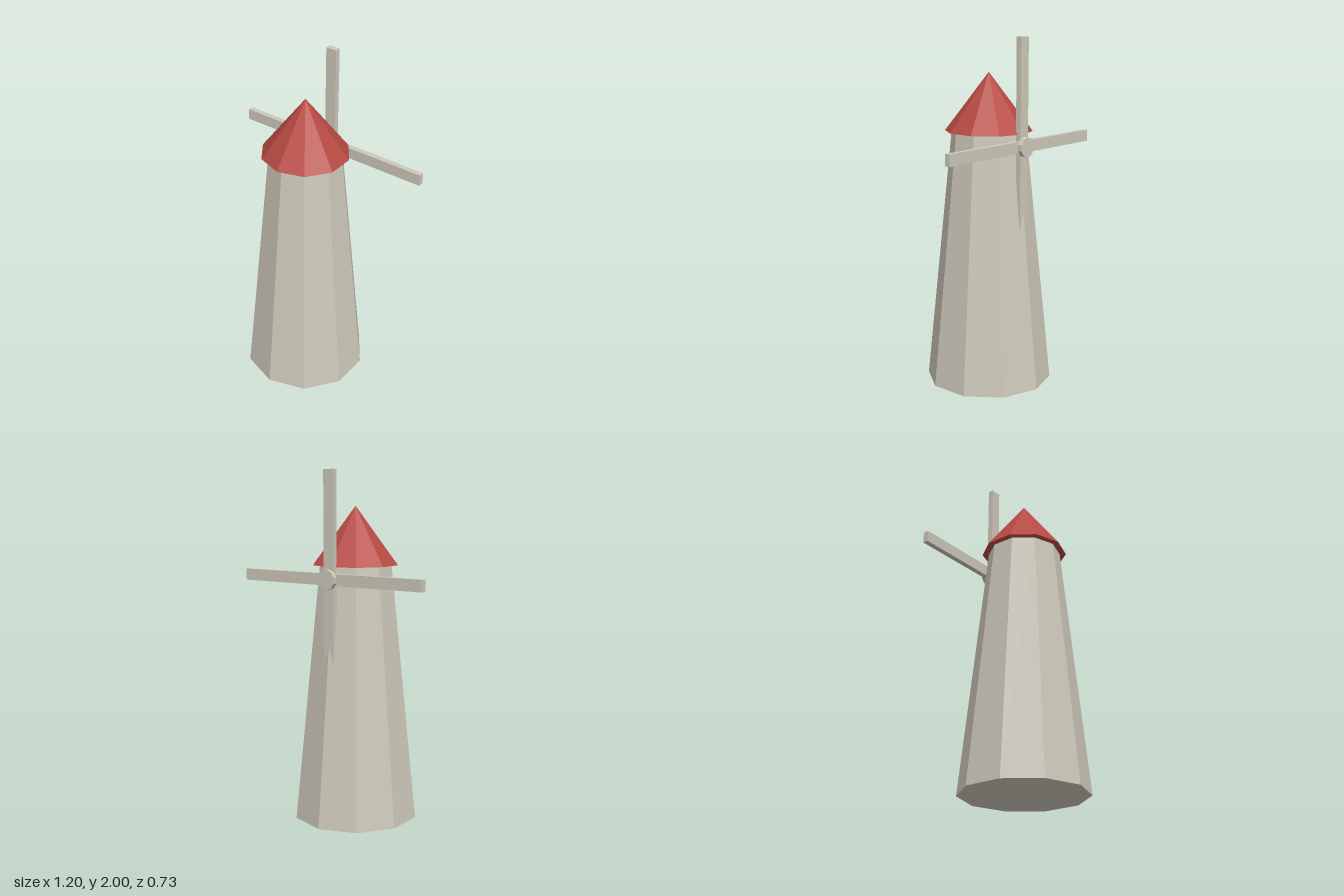
import * as THREE from 'three';

const SIDES = 10;
const HUB_Y = 1.402;
const SAIL_Z = -0.242;

export function createModel() {
  const stone = new THREE.MeshStandardMaterial({ color: 0xcdc8ba });
  stone.name = 'pale stone';
  stone.flatShading = true;
  const red = new THREE.MeshStandardMaterial({ color: 0xb84a44 });
  red.name = 'roof red';
  red.flatShading = true;

  const model = new THREE.Group();
  model.name = 'windmill';

  const add = (name, geometry, material, x, y, z) => {
    const mesh = new THREE.Mesh(geometry, material);
    mesh.name = name;
    mesh.position.set(x, y, z);
    model.add(mesh);
    return mesh;
  };

  // Tapered tower and conical roof, each with a corner on the z axis
  add('tower', new THREE.CylinderGeometry(0.212, 0.364, 1.472, SIDES), stone, 0, 0.736, 0);
  add('roof', new THREE.ConeGeometry(0.25, 0.33, SIDES), red, 0, 1.635, 0);

  // Axle and hub cap on the back
  const axle = add('axle', new THREE.CylinderGeometry(0.045, 0.045, 0.07, SIDES), stone, 0, HUB_Y, -0.235);
  const hub = add('hub', new THREE.CylinderGeometry(0.057, 0.057, 0.027, SIDES), stone, 0, HUB_Y, -0.27);
  axle.rotation.x = hub.rotation.x = Math.PI / 2;

  // Four plain sails around the hub
  for (let i = 0; i < 4; i++) {
    const arm = new THREE.BoxGeometry(0.065, 0.598, 0.032);
    arm.translate(0, 0.299, 0);
    const sail = add('sail' + (i + 1), arm, stone, 0, HUB_Y, SAIL_Z);
    sail.rotation.z = (i * Math.PI) / 2;
  }

  return model;
}
